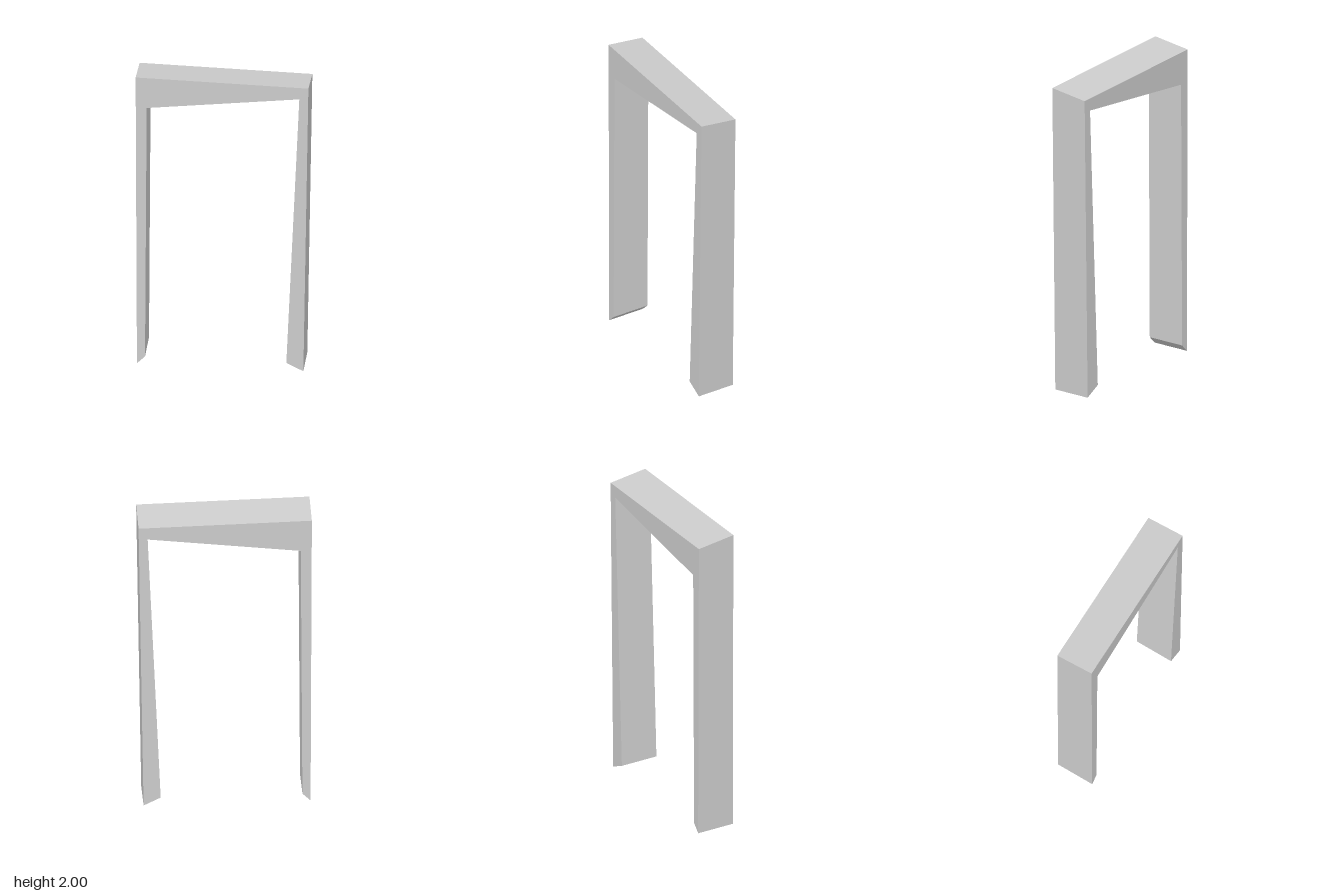
import * as THREE from 'three';

const HALF_DEPTH = 0.123;

// Cross-section of the frame: outer and inner edge at the front, then at the back.
// The back edge can sit lower than the front by `drop`.
function section([ox, oy], [ix, iy], drop) {
  return [
    [ox, oy, HALF_DEPTH], [ix, iy, HALF_DEPTH],
    [ix, iy - drop, -HALF_DEPTH], [ox, oy - drop, -HALF_DEPTH],
  ];
}

// Flat-sided bar between two cross-sections, with optional end caps.
function bar(name, a, b, capStart, capEnd) {
  const pos = [];
  const quad = (p, q, r, s) => pos.push(...p, ...q, ...r, ...p, ...r, ...s);
  for (let i = 0; i < 4; i++) {
    const j = (i + 1) % 4;
    quad(a[i], a[j], b[j], b[i]);
  }
  if (capStart) quad(a[3], a[2], a[1], a[0]);
  if (capEnd) quad(b[0], b[1], b[2], b[3]);
  const geometry = new THREE.BufferGeometry();
  geometry.setAttribute('position', new THREE.Float32BufferAttribute(pos, 3));
  geometry.computeVertexNormals();
  const material = new THREE.MeshStandardMaterial({ color: 0xcccccc, flatShading: true });
  const mesh = new THREE.Mesh(geometry, material);
  mesh.name = name;
  return mesh;
}

export function createModel() {
  const group = new THREE.Group();
  group.name = 'doorFrame';

  // Sections from the right foot, over the two mitred corners, to the left foot
  const rightFoot = section([-0.525, 0], [-0.475, 0.05], 0);
  const rightCorner = section([-0.533, 2], [-0.465, 1.79], 0.032);
  const leftCorner = section([0.531, 1.98], [0.475, 1.902], 0.032);
  const leftFoot = section([0.5, 0], [0.395, 0.052], 0);

  group.add(
    bar('rightPost', rightFoot, rightCorner, true, false),
    bar('lintel', rightCorner, leftCorner, false, false),
    bar('leftPost', leftCorner, leftFoot, false, true),
  );
  return group;
}
